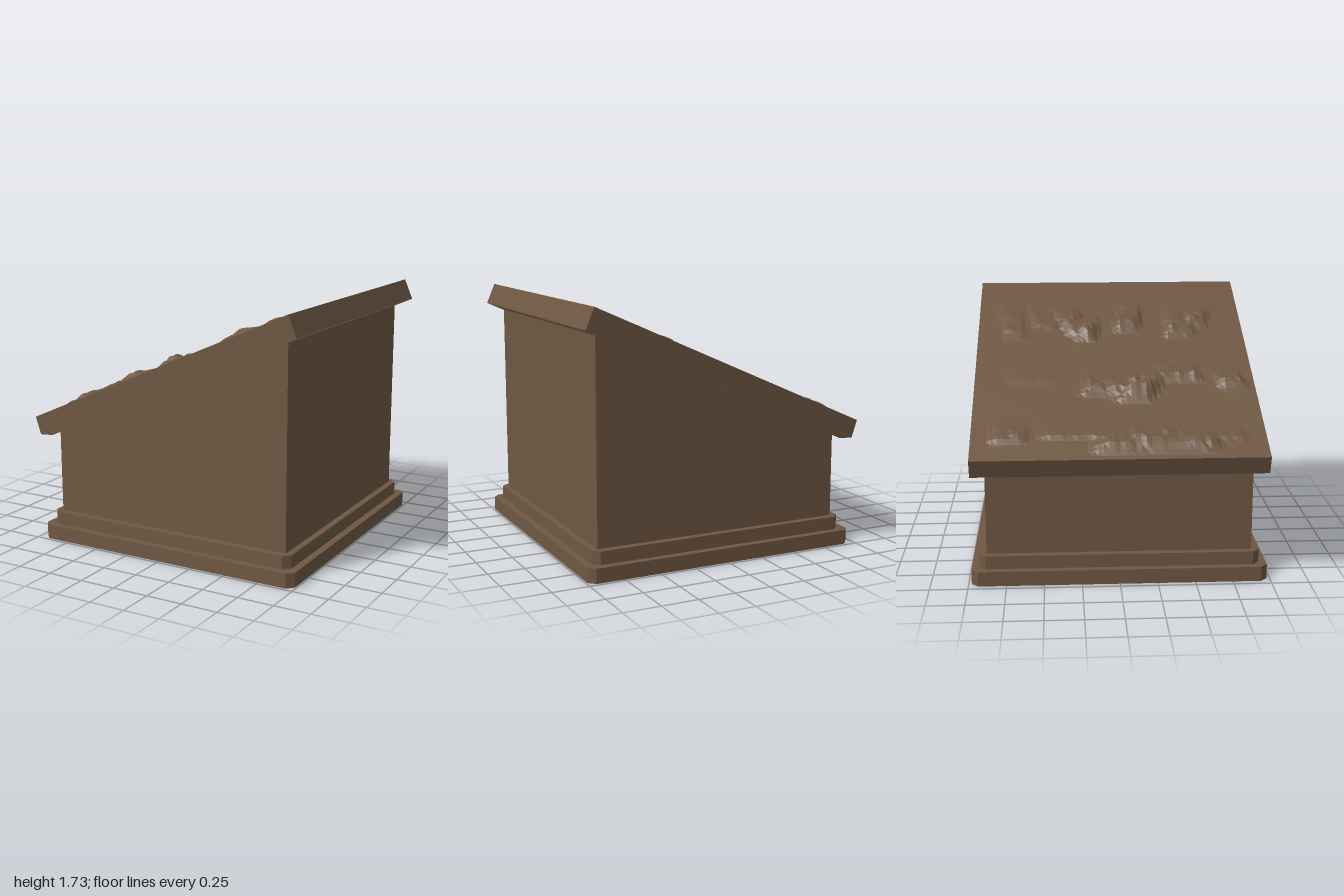
import * as THREE from 'three';

const wood = new THREE.MeshStandardMaterial({ color: 0x6f5843, flatShading: true, side: THREE.DoubleSide });
const SLOPE = (1.73 - 0.87) / 1.935;
const HALF = 0.97;
const topY = (x) => 0.87 + (x + 1) * SLOPE;

function add(group, name, geometry) {
  const mesh = new THREE.Mesh(geometry, wood);
  mesh.name = name;
  group.add(mesh);
  return mesh;
}

const outline = (points) => new THREE.Shape(points.map(([x, y]) => new THREE.Vector2(x, y)));

// Plinth step: rectangle with cut corners, extruded upward
function plinth(x0, x1, hz, y0, h) {
  const c = 0.045;
  const shape = outline([
    [x0 + c, -hz], [x1 - c, -hz], [x1, -hz + c], [x1, hz - c],
    [x1 - c, hz], [x0 + c, hz], [x0, hz - c], [x0, -hz + c],
  ]);
  return new THREE.ExtrudeGeometry(shape, { depth: h, bevelEnabled: false })
    .rotateX(-Math.PI / 2).translate(0, y0, 0);
}

// Rocky ridges: [x start, x length, z centre, z half-width, height, skew]
const ridges = [
  [-0.87, 0.24, -0.72, 0.14, 0.03, 0.1],
  [-0.83, 0.16, -0.32, 0.22, 0.02, 0],
  [-0.96, 0.28, -0.02, 0.16, 0.045, 0.1],
  [-0.95, 0.3, 0.22, 0.2, 0.055, -0.1],
  [-0.95, 0.26, 0.5, 0.18, 0.05, 0.15],
  [-0.88, 0.2, 0.74, 0.1, 0.018, 0],
  [-0.3, 0.22, -0.55, 0.2, 0.012, 0],
  [-0.4, 0.28, -0.13, 0.1, 0.05, 0.2],
  [-0.43, 0.34, 0.06, 0.17, 0.05, 0],
  [-0.48, 0.38, 0.2, 0.13, 0.075, 0.5],
  [-0.27, 0.22, 0.45, 0.16, 0.045, -0.2],
  [-0.36, 0.24, 0.8, 0.11, 0.045, -0.2],
  [0.2, 0.48, -0.72, 0.09, 0.025, -0.1],
  [0.3, 0.38, -0.5, 0.1, 0.02, -0.2],
  [0.22, 0.44, -0.29, 0.11, 0.06, -0.4],
  [0.17, 0.34, -0.17, 0.08, 0.065, 0.1],
  [0.28, 0.42, 0.14, 0.1, 0.05, 0.15],
  [0.2, 0.45, 0.52, 0.13, 0.05, 0.1],
  [0.32, 0.34, 0.65, 0.1, 0.05, 0.25],
];

const hash = (a, b) => {
  const s = Math.sin(a * 127.1 + b * 311.7) * 43758.5453;
  return s - Math.floor(s);
};

// Each ridge rises steeply on its low side and fades out uphill
function relief(x, z) {
  let best = 0;
  for (const [x0, len, zc, hz, h, skew] of ridges) {
    const u = (x - x0) / len;
    const v = (z - zc - skew * (x - x0 - len / 2)) / hz;
    if (u <= 0 || u >= 1 || Math.abs(v) >= 1) continue;
    const rise = u < 0.25 ? u / 0.25 : (1 - u) / 0.75;
    best = Math.max(best, h * rise * Math.min(1, 1.5 * (1 - v * v)));
  }
  return best;
}

// Sloping top sheet with the relief raised on it
function reliefTop() {
  const n = 56;
  const g = new THREE.PlaneGeometry(1.935, 2 * HALF, n, n).rotateX(-Math.PI / 2).translate(-0.0325, 0, 0);
  const p = g.attributes.position;
  for (let i = 0; i < p.count; i++) {
    const x = p.getX(i), z = p.getZ(i);
    const jitter = 0.65 + 0.5 * hash(Math.round(x * 18), Math.round(z * 18));
    p.setY(i, topY(x) + relief(x, z) * jitter);
  }
  g.computeVertexNormals();
  return g;
}

// End strip spanning the full depth between two profile points
function endStrip([xa, ya], [xb, yb]) {
  const g = new THREE.PlaneGeometry(1, 2 * HALF);
  const p = g.attributes.position;
  [[xa, ya, -HALF], [xa, ya, HALF], [xb, yb, -HALF], [xb, yb, HALF]]
    .forEach((v, i) => p.setXYZ(i, ...v));
  g.computeVertexNormals();
  return g;
}

export function createModel() {
  const model = new THREE.Group();
  model.name = 'slopedPedestal';

  add(model, 'lowerPlinth', plinth(-0.96, 0.99, 0.98, 0, 0.1));
  add(model, 'upperPlinth', plinth(-0.91, 0.94, 0.93, 0.1, 0.09));

  // Wedge body
  const side = outline([[-0.86, 0.19], [0.895, 0.19], [0.895, 1.545], [-0.86, 0.765]]);
  add(model, 'body', new THREE.ExtrudeGeometry(side, { depth: 1.76, bevelEnabled: false }).translate(0, 0, -0.88));

  // Lid: a shell open underneath
  const lid = new THREE.Group();
  lid.name = 'lid';
  model.add(lid);
  const rim = [[-1, 0.87], [-0.96, 0.75], [-0.86, 0.757], [0.995, 1.59], [0.935, 1.73]];
  add(lid, 'reliefTop', reliefTop());
  add(lid, 'lowEnd', endStrip(rim[0], rim[1]));
  add(lid, 'highEnd', endStrip(rim[3], rim[4]));
  for (const s of [1, -1]) {
    const cheek = add(lid, s > 0 ? 'frontEdge' : 'backEdge', new THREE.ShapeGeometry(outline(rim)));
    if (s < 0) {
      // Turn the back edge outward by reversing its winding
      cheek.geometry.index.array.reverse();
      cheek.geometry.computeVertexNormals();
    }
    cheek.position.z = s * HALF;
  }
  return model;
}
